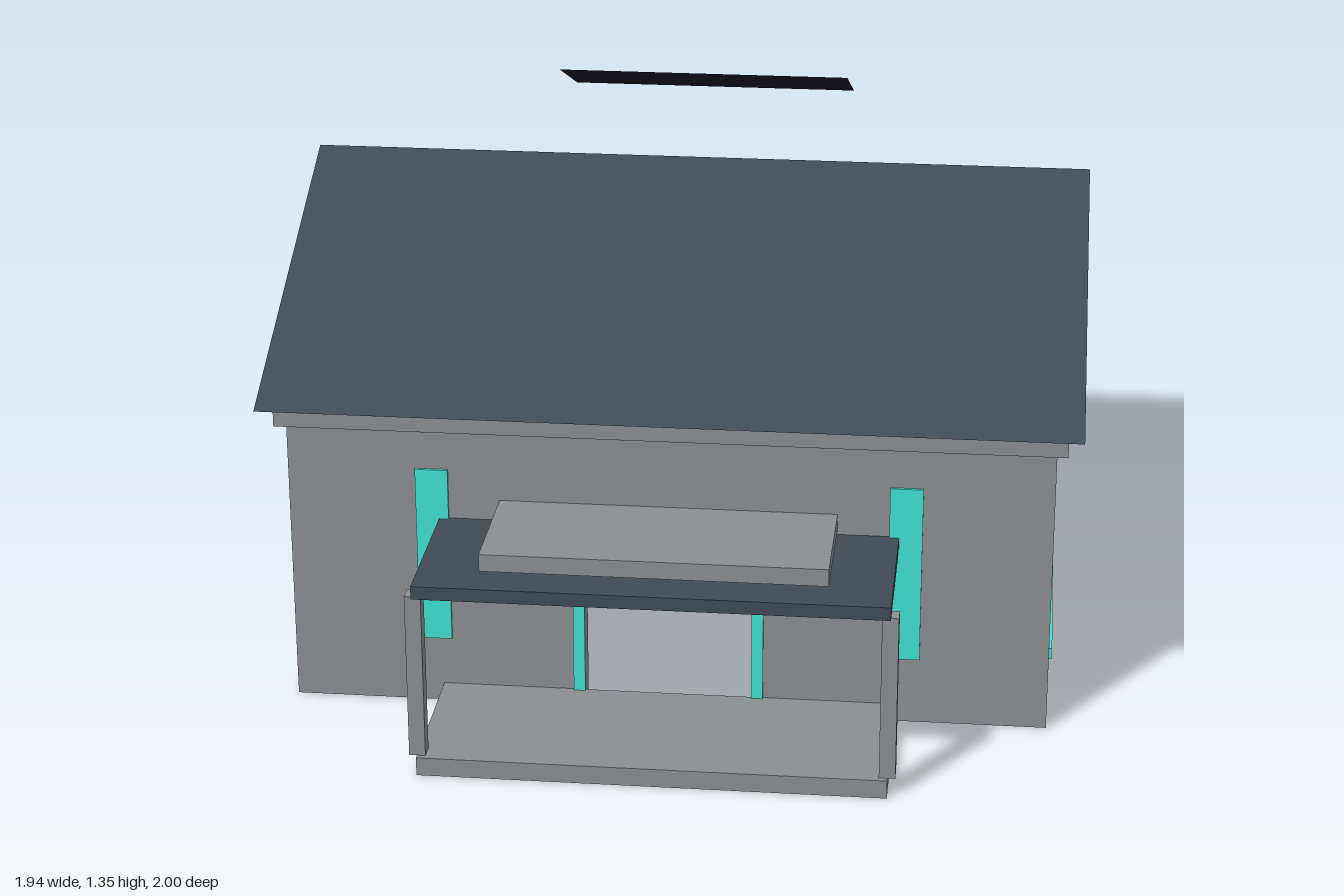
import * as THREE from 'three';

const mat = (name, color, side = THREE.FrontSide) => {
  const m = new THREE.MeshStandardMaterial({ color, side });
  m.name = name;
  return m;
};

export function createModel() {
  const house = new THREE.Group();
  house.name = 'house';
  const grey = mat('concrete grey', 0x8c8f92);
  const slate = mat('slate blue', 0x414b54);
  const teal = mat('teal trim', 0x42e2d4);
  const dark = mat('panel dark', 0x1c1a27, THREE.DoubleSide);

  // Face materials in the order +x, -x, +y, -y, +z, -z
  const greyBlock = [grey, grey, grey, slate, grey, grey];
  const eaveFaces = [grey, slate, grey, slate, grey, slate];
  const canopyFaces = [slate, slate, slate, dark, slate, slate];

  const add = (name, geometry, material) => {
    const mesh = new THREE.Mesh(geometry, material);
    mesh.name = name;
    house.add(mesh);
    return mesh;
  };
  // Box given by its extents on each axis
  const box = (name, material, [x0, x1], [y0, y1], [z0, z1]) =>
    add(name, new THREE.BoxGeometry(x1 - x0, y1 - y0, z1 - z0), material)
      .position.set((x0 + x1) / 2, (y0 + y1) / 2, (z0 + z1) / 2);

  const W = 0.905, H = 0.71, FRONT = 0.615, BACK = -0.935, T = 0.05, DOOR = 0.2;

  // Walls, open underneath, closed above by the eave band
  box('backWall', greyBlock, [-W, W], [0, H], [BACK, BACK + T]);
  box('doorLintel', greyBlock, [-DOOR, DOOR], [0.43, H], [FRONT - T, FRONT]);
  box('eaveBand', eaveFaces, [-0.93, 0.93], [H, 0.76], [-0.96, 0.64]);

  // Gabled roof, profile drawn in the side plane and run along x
  const gable = new THREE.Shape([
    new THREE.Vector2(-0.674, 0.76), new THREE.Vector2(1, 0.76), new THREE.Vector2(0.163, 1.147),
  ]);
  const roof = new THREE.ExtrudeGeometry(gable, { depth: 1.934, bevelEnabled: false });
  add('roof', roof.translate(0, 0, -0.968).rotateY(Math.PI / 2), slate);
  add('gableFace', new THREE.ShapeGeometry(gable).translate(0, 0, 0.968).rotateY(Math.PI / 2), grey);

  // Tilted panel hovering above the rear slope
  const panel = add('roofPanel', new THREE.PlaneGeometry(0.72, Math.hypot(0.31, 0.126)), dark);
  panel.position.set(0, 1.288, -0.36);
  panel.rotation.x = -Math.PI / 2 - Math.atan2(0.126, 0.31);

  // Porch
  box('porchFloor', greyBlock, [-0.545, 0.545], [0, 0.045], [FRONT, 1]);
  box('porchRoof', canopyFaces, [-0.545, 0.545], [0.45, 0.482], [FRONT, 1]);
  box('porchSlab', greyBlock, [-0.4, 0.4], [0.491, 0.533], [FRONT, 0.922]);

  // Mirrored walls, posts and teal trim
  const zTrim = [FRONT, FRONT + 0.007];
  for (const s of [-1, 1]) {
    const span = (a, b) => (s > 0 ? [a, b] : [-b, -a]);
    box('sideWall', greyBlock, span(W - T, W), [0, H], [BACK + T, FRONT - T]);
    box('frontWall', greyBlock, span(DOOR, W), [0, H], [FRONT - T, FRONT]);
    box('porchPost', grey, span(0.525, 0.563), [0.045, 0.45], [0.947, 0.987]);
    box('windowStrip', teal, span(0.522, 0.6), [0.167, 0.607], zTrim);
    box('doorJamb', teal, span(DOOR, 0.228), [0.045, 0.43], zTrim);
    box('sideStrip', teal, span(W, W + 0.009), [0.12, 0.148], [-0.805, 0.488]);
  }
  box('doorHeader', teal, [-0.228, 0.228], [0.43, 0.45], zTrim);

  return house;
}
